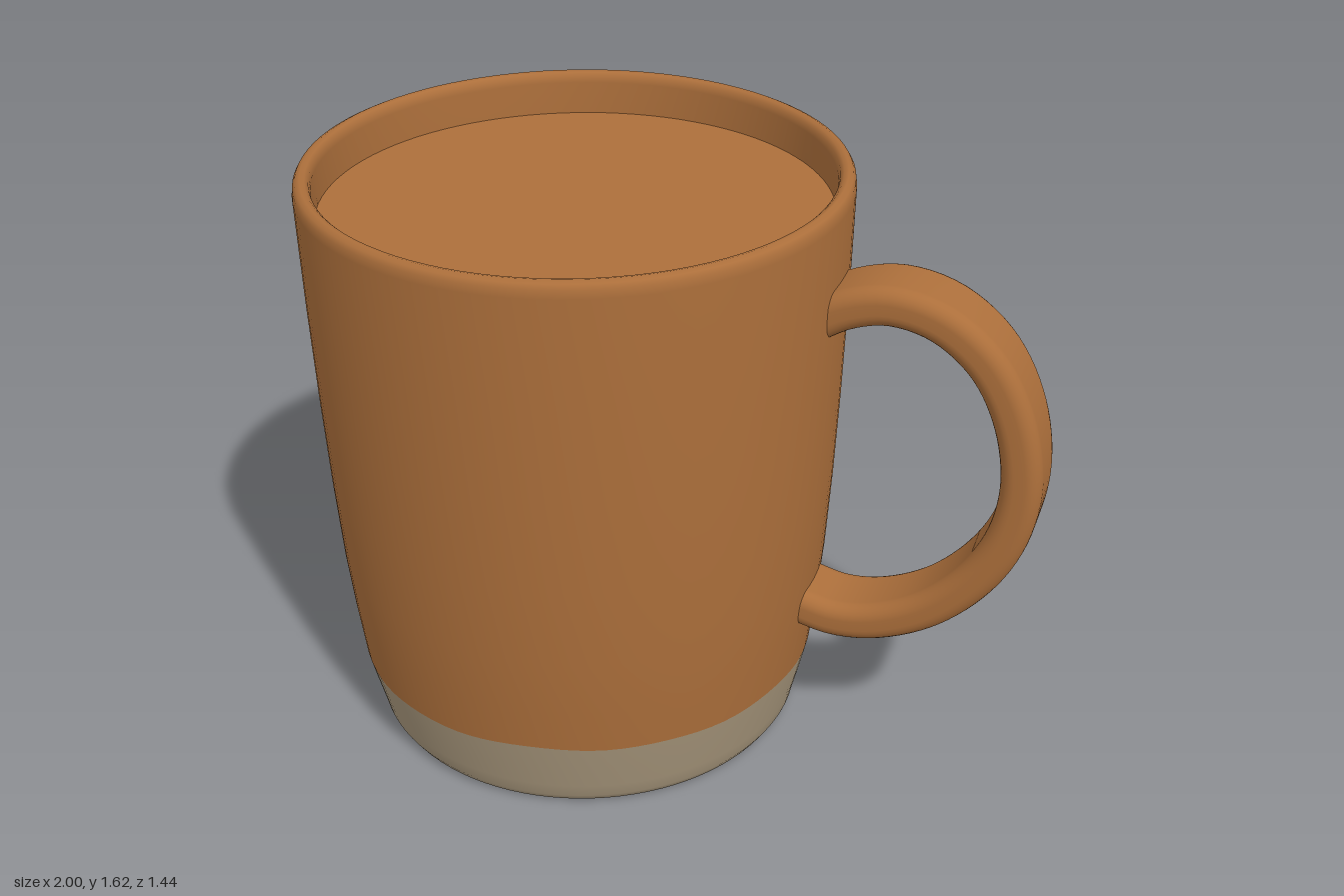
import * as THREE from 'three';

const V2 = (p) => new THREE.Vector2(p[0], p[1]);
const CX = -0.28; // cup axis
const SEG = 96;

// Uneven height of the glaze line around the cup
const glazeLine = (a) => 0.215 + 0.006 * Math.sin(2 * a + 0.3) + 0.003 * Math.sin(5 * a + 1) + 0.002 * Math.sin(11 * a);

// Lathe whose row number `row` follows the glaze line
function latheWithWave(profile, row) {
  const geo = new THREE.LatheGeometry(profile.map(V2), SEG);
  const pos = geo.attributes.position;
  const n = profile.length;
  for (let i = 0; i <= SEG; i++) {
    pos.setY(i * n + row, glazeLine((i % SEG) / SEG * Math.PI * 2));
  }
  return geo;
}

// Sweep a closed rounded-rectangle section along a curve lying in the XY plane
function sweepHandle(curve, steps, halfThick, halfWidth, radius) {
  const section = [];
  const corners = [[1, 1], [-1, 1], [-1, -1], [1, -1]];
  corners.forEach(([sx, sy], c) => {
    for (let k = 0; k <= 6; k++) {
      const a = (c + k / 6) * Math.PI / 2;
      section.push([
        sx * (halfThick - radius) + radius * Math.cos(a),
        sy * (halfWidth - radius) + radius * Math.sin(a),
      ]);
    }
  });
  const n = section.length, verts = [], index = [];
  for (let i = 0; i <= steps; i++) {
    const p = curve.getPointAt(i / steps), t = curve.getTangentAt(i / steps);
    for (const [u, w] of section) verts.push(p.x - t.y * u, p.y + t.x * u, w);
  }
  for (let i = 0; i < steps; i++) {
    for (let j = 0; j < n; j++) {
      const a = i * n + j, b = i * n + (j + 1) % n, c = a + n, d = b + n;
      index.push(a, b, c, b, d, c);
    }
  }
  const geo = new THREE.BufferGeometry();
  geo.setAttribute('position', new THREE.Float32BufferAttribute(verts, 3));
  geo.setIndex(index);
  geo.computeVertexNormals();
  return geo;
}

export function createModel() {
  const group = new THREE.Group();
  const glaze = new THREE.MeshStandardMaterial({ name: 'brownGlaze', color: 0xac6f3b });
  const clay = new THREE.MeshStandardMaterial({ name: 'bareClay', color: 0xa8977c });
  const add = (name, geo, mat, x = CX, y = 0) => {
    const mesh = new THREE.Mesh(geo, mat);
    mesh.name = name;
    mesh.position.set(x, y, 0);
    group.add(mesh);
    return mesh;
  };

  // Unglazed base with a shallow recess underneath
  add('clayBase', latheWithWave([
    [0, 0.035], [0.44, 0.035], [0.49, 0.028], [0.513, 0.008], [0.53, 0], [0.57, 0],
    [0.592, 0.008], [0.606, 0.03], [0.615, 0.07], [0.632, 0.14], [0.648, 0.215],
  ], 10), clay);

  // Glazed wall, rounded rim and inner wall
  add('glazedWall', latheWithWave([
    [0.648, 0.215], [0.664, 0.35], [0.68, 0.52], [0.694, 0.75], [0.705, 1.0], [0.714, 1.28],
    [0.72, 1.575], [0.717, 1.597], [0.71, 1.609], [0.698, 1.615], [0.686, 1.612],
    [0.677, 1.603], [0.673, 1.585], [0.671, 1.47],
  ], 0), glaze);

  // Flat surface inside the cup
  const inner = new THREE.CircleGeometry(0.672, SEG);
  inner.rotateX(-Math.PI / 2);
  add('innerSurface', inner, glaze, CX, 1.495);

  // Ear-shaped handle
  const path = new THREE.CatmullRomCurve3([
    [0.38, 1.3], [0.47, 1.352], [0.58, 1.378], [0.71, 1.35], [0.83, 1.257], [0.91, 1.11],
    [0.943, 0.93], [0.92, 0.77], [0.85, 0.63], [0.73, 0.505], [0.59, 0.433], [0.47, 0.415], [0.35, 0.44],
  ].map(([x, y]) => new THREE.Vector3(x, y, 0)));
  add('handle', sweepHandle(path, 64, 0.054, 0.1, 0.04), glaze, 0);

  return group;
}
